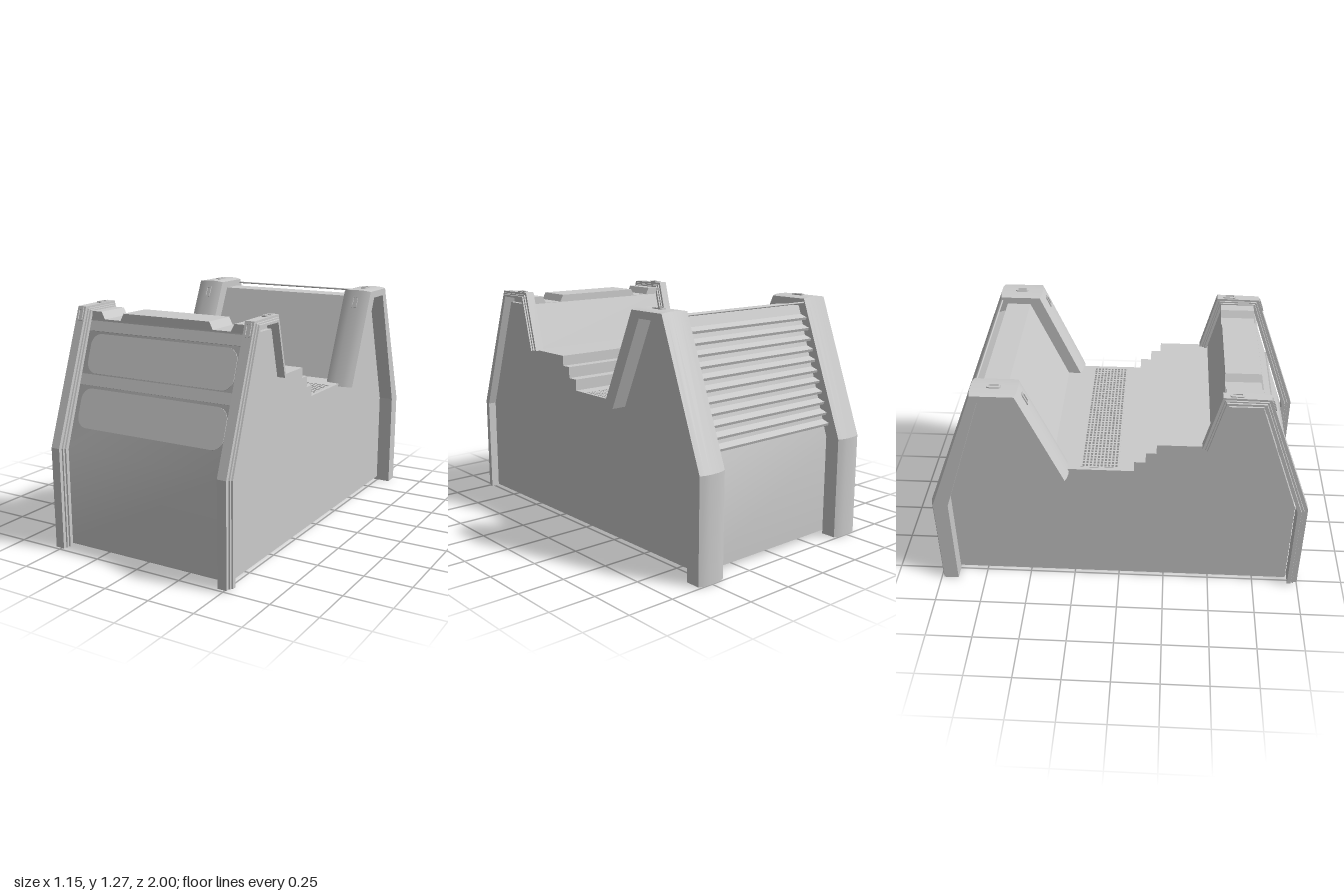
import * as THREE from 'three';
import { mergeGeometries, toCreasedNormals } from 'three/addons/utils/BufferGeometryUtils.js';

const material = new THREE.MeshStandardMaterial({ color: 0xcccccc });

function add(group, name, geometry) {
  const mesh = new THREE.Mesh(geometry, material);
  mesh.name = name;
  group.add(mesh);
  return mesh;
}

// Side profile given as [z, y] points, extruded across x
function extrudeSide(points, width, cx = 0) {
  const shape = new THREE.Shape(points.map(([z, y]) => new THREE.Vector2(z, y)));
  const geo = new THREE.ExtrudeGeometry(shape, { depth: width, bevelEnabled: false });
  geo.rotateY(-Math.PI / 2).translate(cx + width / 2, 0, 0);
  return toCreasedNormals(geo, 0.45);
}

// Ribbon between matching inner and outer [z, y] paths, section given as [x, t]
function ribbon(inner, outer, section) {
  const n = section.length;
  const pos = [], index = [];
  inner.forEach(([zi, yi], i) => {
    const [zo, yo] = outer[i];
    for (const [x, t] of section) pos.push(x, yi + (yo - yi) * t, zi + (zo - zi) * t);
  });
  for (let i = 0; i < inner.length - 1; i++) {
    for (let j = 0; j < n; j++) {
      const a = i * n + j, b = i * n + (j + 1) % n;
      index.push(a, b, b + n, a, b + n, a + n);
    }
  }
  const last = (inner.length - 1) * n;
  const caps = THREE.ShapeUtils.triangulateShape(section.map(([x, t]) => new THREE.Vector2(x, t)), []);
  for (const [a, b, c] of caps) index.push(c, b, a, last + a, last + b, last + c);
  const geo = new THREE.BufferGeometry();
  geo.setAttribute('position', new THREE.Float32BufferAttribute(pos, 3));
  geo.setIndex(index);
  return toCreasedNormals(geo.toNonIndexed(), 0.3);
}

function roundedRect(w, h, r, Type = THREE.Shape) {
  const s = new Type();
  const x = w / 2, y = h / 2;
  s.moveTo(x, -y + r);
  s.absarc(x - r, y - r, r, 0, Math.PI / 2);
  s.absarc(-x + r, y - r, r, Math.PI / 2, Math.PI);
  s.absarc(-x + r, -y + r, r, Math.PI, Math.PI * 1.5);
  s.absarc(x - r, -y + r, r, Math.PI * 1.5, Math.PI * 2);
  return s;
}

const extrude = (shape, depth) =>
  new THREE.ExtrudeGeometry(shape, { depth, bevelEnabled: false, curveSegments: 8 });

export function createModel() {
  const model = new THREE.Group();
  model.name = 'dockBody';

  // Main body: pitted core plus solid edge strips that close the pit
  const front = [[0.715, 1.17], [0.715, 1.18], [0.535, 1.18], [0.47, 0.93], [0.195, 0.93], [0.195, 0.875],
    [0.14, 0.875], [0.14, 0.815], [0.08, 0.815], [0.08, 0.755]];
  const pit = [[0, 0.755], [0, 0.715], [-0.2, 0.715], [-0.2, 0.755]];
  const back = [[-0.35, 0.755], [-0.555, 1.215], [-0.685, 1.215], [-0.905, 0.54], [-0.905, 0.02]];
  const start = [[0.935, 0.02], [0.935, 0.54]];
  add(model, 'body', extrudeSide([...start, ...front, ...pit, ...back], 0.95));
  for (const s of [-1, 1]) {
    add(model, 'bodyEdge', extrudeSide([...start, ...front, ...back], 0.02, s * 0.485));
  }

  // Grate over the pit
  const bars = [];
  for (let i = 0; i <= 40; i++) {
    bars.push(new THREE.BoxGeometry(0.008, 0.014, 0.2).translate(-0.471 + i * 0.02355, 0.75, -0.1));
  }
  for (let i = 0; i <= 10; i++) {
    bars.push(new THREE.BoxGeometry(0.95, 0.014, 0.008).translate(0, 0.75, -0.004 - i * 0.0192));
  }
  add(model, 'grate', mergeGeometries(bars));

  // Front wall cap with two tapered notches
  const cap = new THREE.Shape();
  cap.moveTo(-0.47, 1.18);
  cap.lineTo(0.47, 1.18);
  for (const [x, y] of [[0.47, 1.22], [0.395, 1.22], [0.375, 1.182], [0.275, 1.182], [0.255, 1.22],
    [-0.255, 1.22], [-0.275, 1.182], [-0.375, 1.182], [-0.395, 1.22], [-0.47, 1.22]]) cap.lineTo(x, y);
  add(model, 'notchedCap', extrude(cap, 0.185).translate(0, 0, 0.53));

  // Front slope: cross bars and rounded panels
  const lean = Math.atan(0.22 / 0.63);
  const onSlope = (mesh, y) => {
    mesh.position.set(0, y, 0.935 - (y - 0.54) * 0.349);
    mesh.rotation.x = -lean;
  };
  for (const [y, h] of [[1.145, 0.05], [0.882, 0.054]]) {
    onSlope(add(model, 'crossBar', new THREE.BoxGeometry(0.92, h / Math.cos(lean), 0.02)), y);
  }
  for (const y of [1.012, 0.745]) {
    onSlope(add(model, 'frontPanel', extrude(roundedRect(0.87, 0.205, 0.06), 0.004)), y);
  }

  // Rear louvers
  for (let i = 0; i < 11; i++) {
    const y = 0.62 + i * 0.054;
    const z = -0.905 + (y - 0.54) * 0.326;
    const slat = add(model, 'louver', new THREE.BoxGeometry(0.84, 0.014, 0.06));
    slat.position.set(0, y, z - 0.008);
    slat.rotation.x = -0.32;
  }

  // Rod between the rear arches
  add(model, 'rearRod', new THREE.CylinderGeometry(0.005, 0.005, 0.84, 8).rotateZ(Math.PI / 2))
    .position.set(0, 1.232, -0.715);

  // Arched frames on both sides
  const rearOuter = [[-1, 0], [-1, 0.54], [-0.725, 1.26], [-0.49, 1.26], [-0.26, 0.74]];
  const rearInner = [[-0.905, 0], [-0.905, 0.54], [-0.685, 1.215], [-0.555, 1.215], [-0.345, 0.74]];
  const rearSection = [[-0.08, 0], [0.08, 0], [0.08, 0.84], [0.055, 0.95], [0.025, 0.99],
    [-0.025, 0.99], [-0.055, 0.95], [-0.08, 0.84]];
  rearSection[4][1] = rearSection[5][1] = 1;
  const frontOuter = [[0.425, 0.93], [0.51, 1.25], [0.745, 1.245], [1, 0.55], [1, 0.01]];
  const frontInner = [[0.465, 0.93], [0.54, 1.215], [0.71, 1.215], [0.945, 0.54], [0.945, 0.01]];
  const frontSection = [[-0.04, 0], [0.04, 0], [0.04, 0.36], [0.032, 0.4], [0.032, 0.62], [0.025, 0.65],
    [0.025, 1], [-0.025, 1], [-0.025, 0.65], [-0.032, 0.62], [-0.032, 0.4], [-0.04, 0.36]];
  // Small latch rings as [y, z, tilt]
  const latches = [[1.258, -0.61, -Math.PI / 2], [1.195, -0.463, -0.416],
    [1.246, 0.58, -Math.PI / 2], [1.205, 0.758, -0.348]];
  const ring = roundedRect(0.032, 0.07, 0.01);
  ring.holes.push(roundedRect(0.018, 0.05, 0.006, THREE.Path));

  for (const s of [-1, 1]) {
    add(model, 'rearArch', ribbon(rearInner, rearOuter, rearSection)).position.x = s * 0.495;
    add(model, 'frontArch', ribbon(frontInner, frontOuter, frontSection)).position.x = s * 0.495;
    for (const [y, z, tilt] of latches) {
      const latch = add(model, 'latchRing', extrude(ring, 0.008));
      latch.position.set(s * 0.495, y, z);
      latch.rotation.x = tilt;
    }
  }
  return model;
}
